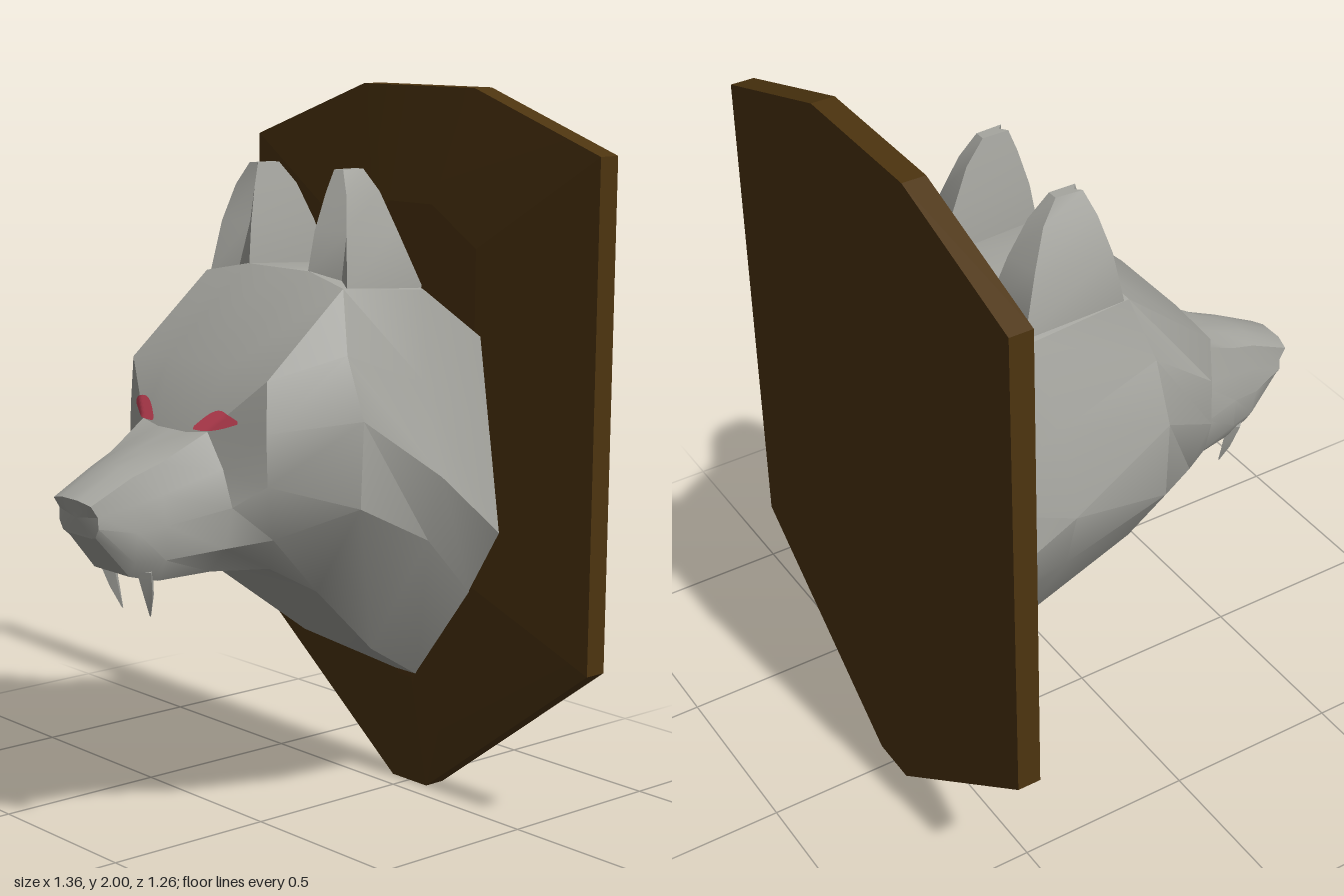
import * as THREE from 'three';
import { toCreasedNormals } from 'three/addons/utils/BufferGeometryUtils.js';

const fur = new THREE.MeshStandardMaterial({ name: 'greyFur', color: 0xa6a6a0 });
const wood = new THREE.MeshStandardMaterial({ name: 'darkWood', color: 0x4d340f });
const red = new THREE.MeshStandardMaterial({ name: 'eyeRed', color: 0xcc4459 });

// Skin closed rings of [x, y, z] points, each clockwise as seen from the first ring; both ends capped.
function loft(rings, crease) {
  const n = rings[0].length, pos = [];
  const tri = (...pts) => pts.forEach((p) => pos.push(...p));
  for (let i = 0; i < rings.length - 1; i++) {
    for (let j = 0; j < n; j++) {
      const k = (j + 1) % n;
      const a = rings[i][j], b = rings[i][k], c = rings[i + 1][k], d = rings[i + 1][j];
      tri(a, b, c);
      tri(a, c, d);
    }
  }
  const mid = (r) => [0, 1, 2].map((c) => r.reduce((s, p) => s + p[c], 0) / n);
  const first = rings[0], last = rings[rings.length - 1];
  for (let j = 0; j < n; j++) {
    const k = (j + 1) % n;
    tri(mid(first), first[k], first[j]);
    tri(mid(last), last[j], last[k]);
  }
  const g = new THREE.BufferGeometry();
  g.setAttribute('position', new THREE.Float32BufferAttribute(pos, 3));
  return toCreasedNormals(g, crease);
}

const flip = (p) => [-p[0], p[1], p[2]];
const flipRings = (rings) => rings.map((r) => r.map(flip).reverse());

function mesh(name, geometry, material) {
  const m = new THREE.Mesh(geometry, material);
  m.name = name;
  return m;
}

// Wall plaque: eight-sided board with a slightly raised front
function makePlaque() {
  const right = [[0.22, 2], [0.68, 1.84], [0.68, 0.46], [0.07, 0]];
  const outline = [...right, ...right.map(([x, y]) => [-x, y]).reverse()];
  const ring = (sx, sy, z) => outline.map(([x, y]) => [x * sx, 1 + (y - 1) * sy, z]);
  return mesh('plaque', loft([ring(0.38, 0.68, -0.542), ring(1, 1, -0.565), ring(1, 1, -0.63)], 0.05), wood);
}

// Cross-section of the head from its top height, four side corners [x, y] and the depth at top, side and bottom
function headRing([zTop, zSide, zBottom], top, edge, cheek, jaw, bottom) {
  const half = [
    [edge[0] * 0.45, top, zTop],
    [...edge, zTop + (zSide - zTop) * 0.3],
    [(edge[0] + cheek[0]) / 2, (edge[1] + cheek[1]) / 2, zSide],
    [...cheek, zSide],
    [...jaw, (zSide + zBottom) / 2],
    [...bottom, zBottom],
  ];
  return [[0, top, zTop], ...half, [0, bottom[1], zBottom], ...half.map(flip).reverse()];
}

// Head: nose, two muzzle sections, bridge, brow, crown with cheeks, skull back, neck
function makeHead() {
  const rings = [
    headRing([0.63, 0.602, 0.6], 1, [0.08, 0.99], [0.085, 0.93], [0.07, 0.905], [0.05, 0.9]),
    headRing([0.5, 0.5, 0.5], 1.07, [0.09, 1.05], [0.115, 0.91], [0.1, 0.83], [0.075, 0.79]),
    headRing([0.42, 0.42, 0.42], 1.1, [0.105, 1.08], [0.13, 0.92], [0.125, 0.83], [0.09, 0.77]),
    headRing([0.3, 0.27, 0.28], 1.14, [0.135, 1.15], [0.21, 0.96], [0.19, 0.85], [0.13, 0.78]),
    headRing([0.21, 0.22, 0.13], 1.31, [0.28, 1.29], [0.29, 1.02], [0.26, 0.87], [0.19, 0.775]),
    headRing([-0.06, 0, 0], 1.535, [0.28, 1.505], [0.41, 1.18], [0.4, 0.95], [0.23, 0.7]),
    headRing([-0.35, -0.28, -0.28], 1.52, [0.28, 1.48], [0.41, 1], [0.36, 0.82], [0.14, 0.475]),
    headRing([-0.55, -0.55, -0.55], 1.34, [0.28, 1.33], [0.36, 0.8], [0.25, 0.61], [0.04, 0.33]),
  ];
  return mesh('head', loft(rings, 0.5), fur);
}

// Left ear, tip to base: outer front, hollow, inner front, inner back, outer back
const earRings = [
  [[0.19, 1.8, -0.12], [0.175, 1.8, -0.135], [0.155, 1.8, -0.12], [0.155, 1.8, -0.195], [0.185, 1.8, -0.195]],
  [[0.225, 1.74, -0.1], [0.185, 1.74, -0.14], [0.145, 1.74, -0.1], [0.145, 1.74, -0.25], [0.2, 1.74, -0.24]],
  [[0.255, 1.64, -0.075], [0.2, 1.64, -0.13], [0.13, 1.64, -0.075], [0.13, 1.64, -0.3], [0.225, 1.64, -0.28]],
  [[0.28, 1.5, -0.055], [0.21, 1.52, -0.1], [0.12, 1.53, -0.06], [0.12, 1.52, -0.35], [0.265, 1.49, -0.335]],
  [[0.27, 1.42, -0.07], [0.21, 1.42, -0.1], [0.12, 1.42, -0.07], [0.12, 1.42, -0.33], [0.26, 1.42, -0.32]],
];

// Left fang: a four-sided tooth tapering down and inwards
const fangRings = [[0.8, 0.082, 0.455, 0.026], [0.73, 0.074, 0.437, 0.016], [0.67, 0.06, 0.422, 0.002]]
  .map(([y, x, z, r]) => [[x + r, y, z], [x, y, z + r], [x - r, y, z], [x, y, z - r]]);

// Eye: thin almond draped over the face
function makeEye(head, side) {
  const g = new THREE.PlaneGeometry(1, 1, 14, 6);
  const p = g.attributes.position;
  const ray = new THREE.Raycaster();
  for (let i = 0; i < p.count; i++) {
    const t = side * p.getX(i) + 0.5;
    const x = side * (0.085 + 0.13 * t);
    const y = 1.155 + 0.025 * t + 0.012 * Math.sin(Math.PI * t)
      + p.getY(i) * (0.008 + 0.042 * Math.sin(Math.PI * t));
    ray.set(new THREE.Vector3(x, y, 2), new THREE.Vector3(0, 0, -1));
    p.setXYZ(i, x, y, ray.intersectObject(head)[0].point.z + 0.006);
  }
  g.computeVertexNormals();
  return g;
}

export function createModel() {
  const model = new THREE.Group();
  model.name = 'mountedWolfHead';
  const head = makeHead();
  model.add(makePlaque(), head);
  for (const [label, side] of [['left', 1], ['right', -1]]) {
    const sided = (rings) => (side > 0 ? rings : flipRings(rings));
    model.add(
      mesh(label + 'Ear', loft(sided(earRings), 0.6), fur),
      mesh(label + 'Fang', loft(sided(fangRings), 0.5), fur),
      mesh(label + 'Eye', makeEye(head, side), red),
    );
  }
  return model;
}
